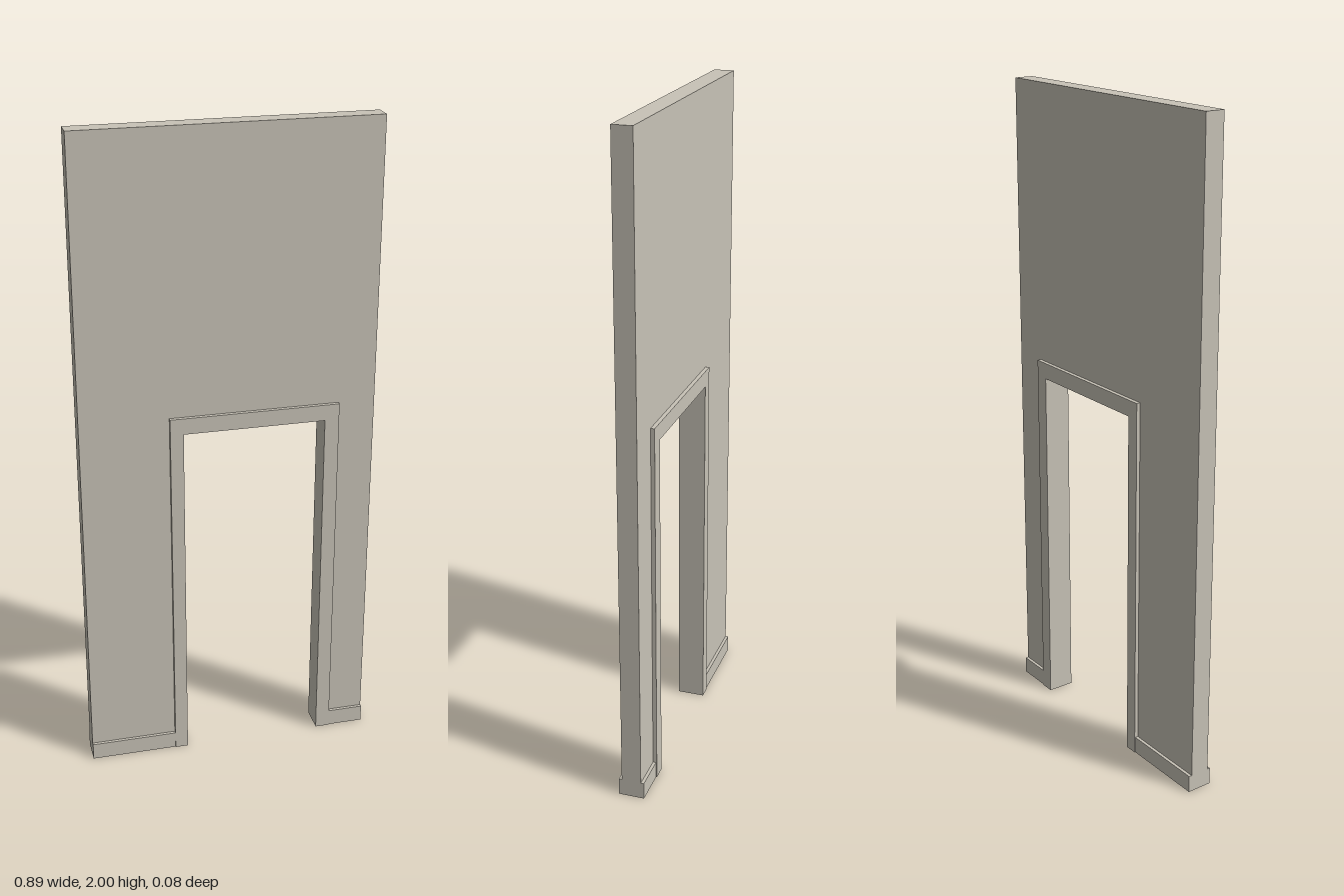
import * as THREE from 'three';

const stone = new THREE.MeshStandardMaterial({ color: 0xc8c3b7 });
stone.name = 'warm grey plaster';

// Upside-down U: an outer rectangle with a doorway cut from its bottom edge
function archway(name, x0, x1, inner0, inner1, bottom, innerTop, top, z0, z1) {
  const shape = new THREE.Shape([
    [x0, bottom], [inner0, bottom], [inner0, innerTop], [inner1, innerTop],
    [inner1, bottom], [x1, bottom], [x1, top], [x0, top],
  ].map(([x, y]) => new THREE.Vector2(x, y)));
  const geometry = new THREE.ExtrudeGeometry(shape, { depth: z1 - z0, bevelEnabled: false });
  geometry.translate(0, 0, z0);
  const mesh = new THREE.Mesh(geometry, stone);
  mesh.name = name;
  return mesh;
}

export function createModel() {
  const group = new THREE.Group();
  group.name = 'wallWithDoorway';
  const half = 0.447, frameL = -0.18, frameR = 0.335, frameTop = 1.15, baseHeight = 0.053;

  // Wall panel standing on the baseboards, cut out around the door frame
  group.add(archway('wall', -half, half, frameL, frameR, baseHeight, frameTop, 2, -0.03, 0.03));

  // Door frame, proud of the wall on both sides
  group.add(archway('doorFrame', frameL, frameR, -0.14, 0.291, 0, 1.1, frameTop, -0.042, 0.042));

  // Baseboards on either side of the frame
  for (const [name, a, b] of [['rightBaseboard', -half, frameL], ['leftBaseboard', frameR, half]]) {
    const board = new THREE.Mesh(new THREE.BoxGeometry(b - a, baseHeight, 0.079), stone);
    board.position.set((a + b) / 2, baseHeight / 2, 0);
    board.name = name;
    group.add(board);
  }
  return group;
}
